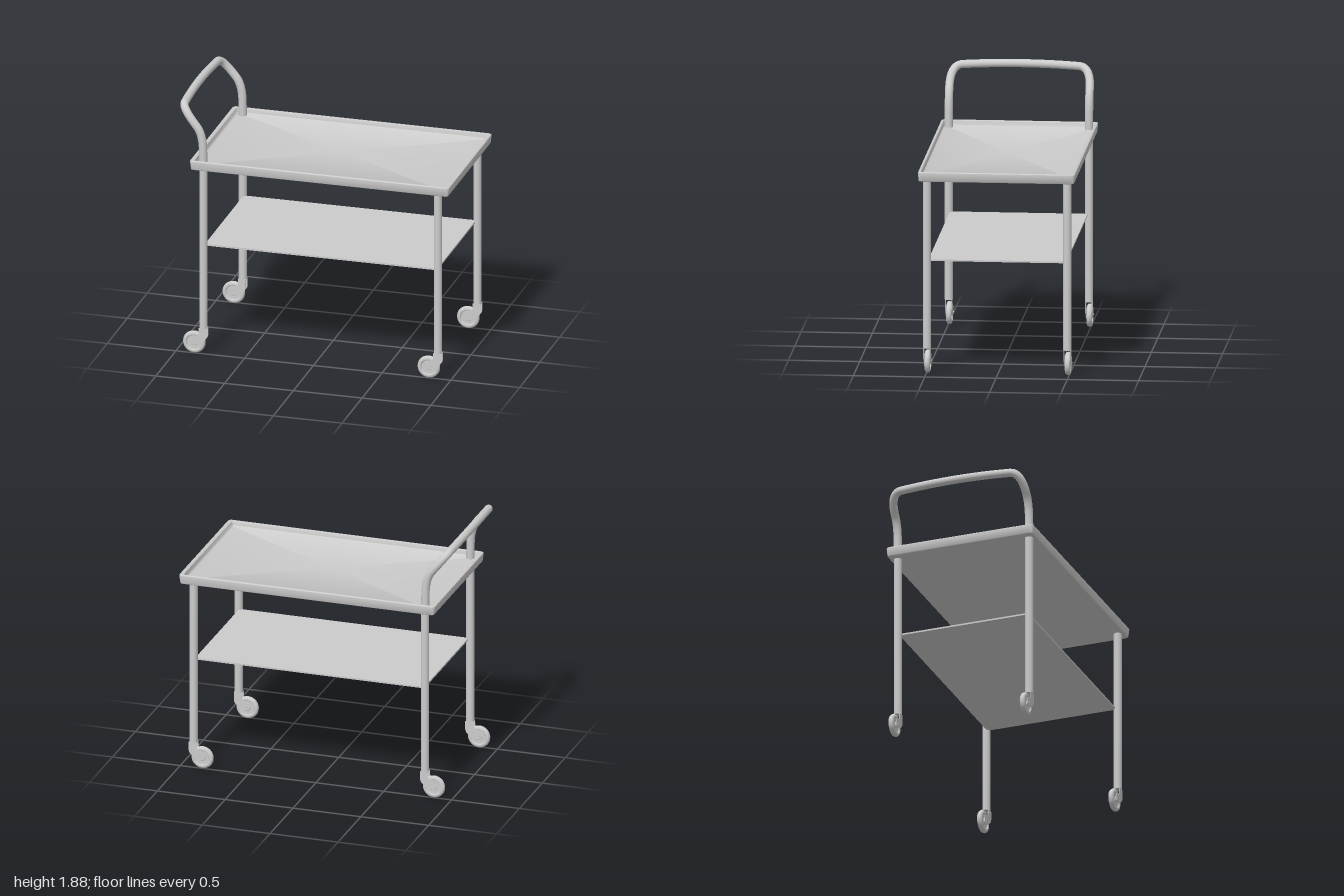
import * as THREE from 'three';
import { toCreasedNormals } from 'three/addons/utils/BufferGeometryUtils.js';

const grey = new THREE.MeshStandardMaterial({ color: 0xcccccc });
const TUBE_R = 0.029, LEG_Z = 0.492, BACK_X = -0.802, FRONT_X = 0.904;

function add(parent, name, geometry, x = 0, y = 0, z = 0) {
  const mesh = new THREE.Mesh(geometry, grey);
  mesh.name = name;
  mesh.position.set(x, y, z);
  parent.add(mesh);
  return mesh;
}

// Rounded-rectangle outline, counter-clockwise in x and z
function roundedRect(hx, hz, r, steps = 5) {
  const pts = [];
  [[1, 1], [-1, 1], [-1, -1], [1, -1]].forEach(([sx, sz], k) => {
    for (let i = 0; i <= steps; i++) {
      const a = (k + i / steps) * Math.PI / 2;
      pts.push([sx * (hx - r) + r * Math.cos(a), sz * (hz - r) + r * Math.sin(a)]);
    }
  });
  return pts;
}

// Closed skin through rings of [halfX, halfZ, cornerRadius, y], capped at both ends
function loftRings(rings) {
  const pos = [], idx = [];
  const n = roundedRect(1, 1, 0.1).length;
  rings.forEach(([hx, hz, r, y]) => roundedRect(hx, hz, r).forEach(([x, z]) => pos.push(x, y, z)));
  for (let k = 0; k < rings.length - 1; k++) {
    for (let i = 0; i < n; i++) {
      const a = k * n + i, b = k * n + (i + 1) % n;
      idx.push(a, a + n, b, b, a + n, b + n);
    }
  }
  const first = pos.length / 3, last = first + 1, top = (rings.length - 1) * n;
  pos.push(0, rings[0][3], 0, 0, rings[rings.length - 1][3], 0);
  for (let i = 0; i < n; i++) {
    const j = (i + 1) % n;
    idx.push(first, i, j, last, top + j, top + i);
  }
  const g = new THREE.BufferGeometry();
  g.setAttribute('position', new THREE.Float32BufferAttribute(pos, 3));
  g.setIndex(idx);
  return toCreasedNormals(g, 0.7);
}

// Push handle: rises from the back legs, leans back and rounds into a bowed bar
function handleGeometry() {
  const V = (x, y, z) => new THREE.Vector3(x, y, z);
  const half = s => [
    V(BACK_X, 1.39, s * LEG_Z), V(BACK_X - 0.003, 1.53, s * LEG_Z), V(-0.808, 1.645, s * LEG_Z),
    V(-0.853, 1.70, s * LEG_Z), V(-0.962, 1.836, s * LEG_Z), V(-0.962, 1.836, s * 0.40),
  ];
  const a = half(1), b = half(-1), path = new THREE.CurvePath();
  path.add(new THREE.LineCurve3(a[0], a[1]));
  path.add(new THREE.QuadraticBezierCurve3(a[1], a[2], a[3]));
  path.add(new THREE.QuadraticBezierCurve3(a[3], a[4], a[5]));
  path.add(new THREE.QuadraticBezierCurve3(a[5], V(-0.982, 1.858, 0), b[5]));
  path.add(new THREE.QuadraticBezierCurve3(b[5], b[4], b[3]));
  path.add(new THREE.QuadraticBezierCurve3(b[3], b[2], b[1]));
  path.add(new THREE.LineCurve3(b[1], b[0]));
  return new THREE.TubeGeometry(path, 120, TUBE_R, 20);
}

// Wheel: rounded tyre, recessed web and raised hub, turned about z
function wheelGeometry() {
  const side = [[0, 0.017], [0.02, 0.017], [0.024, 0.011], [0.052, 0.011], [0.056, 0.018],
    [0.064, 0.020], [0.073, 0.017], [0.079, 0.010]];
  const profile = [
    ...side.map(([r, h]) => new THREE.Vector2(r, -h)),
    new THREE.Vector2(0.082, 0),
    ...side.reverse().map(([r, h]) => new THREE.Vector2(r, h)),
  ];
  const g = new THREE.LatheGeometry(profile, 36).rotateX(Math.PI / 2);
  return toCreasedNormals(g, 0.6);
}

// Fork plate: drops from the leg and sweeps back to the axle
function forkGeometry() {
  const outline = [[-0.028, 0.195], [-0.03, 0.15], [-0.045, 0.138], [-0.088, 0.122], [-0.088, 0.07],
    [-0.025, 0.07], [0.022, 0.112], [0.028, 0.13], [0.028, 0.195]];
  const shape = new THREE.Shape(outline.map(([x, y]) => new THREE.Vector2(x, y)));
  return new THREE.ExtrudeGeometry(shape, { depth: 0.004, bevelEnabled: false }).translate(0, 0, -0.002);
}

export function createModel() {
  const cart = new THREE.Group();
  cart.name = 'servingCart';

  // Top tray: flared sides, rounded rim, sunken floor
  const tray = loftRings([
    [0.932, 0.541, 0.02, 1.388], [0.936, 0.545, 0.022, 1.392], [0.943, 0.55, 0.024, 1.445],
    [0.942, 0.549, 0.024, 1.452], [0.937, 0.544, 0.02, 1.456], [0.920, 0.533, 0.016, 1.456],
    [0.913, 0.529, 0.014, 1.452], [0.905, 0.525, 0.012, 1.425], [0.895, 0.516, 0.01, 1.418],
  ]);
  add(cart, 'topTray', tray, 0.054);

  // Lower shelf: thin flat sheet between the legs
  add(cart, 'lowerShelf', new THREE.BoxGeometry(1.69, 0.012, 0.965), 0.051, 0.812);

  add(cart, 'pushHandle', handleGeometry());

  // Four legs, each with a trailing caster
  const legGeo = new THREE.CylinderGeometry(TUBE_R, TUBE_R, 1.21, 24);
  const wheelGeo = wheelGeometry(), forkGeo = forkGeometry();
  const axleGeo = new THREE.CylinderGeometry(0.006, 0.006, 0.06, 12).rotateX(Math.PI / 2);
  for (const [end, x] of [['back', BACK_X], ['front', FRONT_X]]) {
    for (const [hand, z] of [['Left', LEG_Z], ['Right', -LEG_Z]]) {
      add(cart, `${end}${hand}Leg`, legGeo, x, 0.795, z);
      const caster = new THREE.Group();
      caster.name = `${end}${hand}Caster`;
      caster.position.set(x, 0, z);
      add(caster, 'wheel', wheelGeo, -0.066, 0.082, 0);
      add(caster, 'axle', axleGeo, -0.066, 0.088, 0);
      for (const s of [-1, 1]) add(caster, 'forkPlate', forkGeo, 0, 0, s * 0.023);
      cart.add(caster);
    }
  }
  return cart;
}
